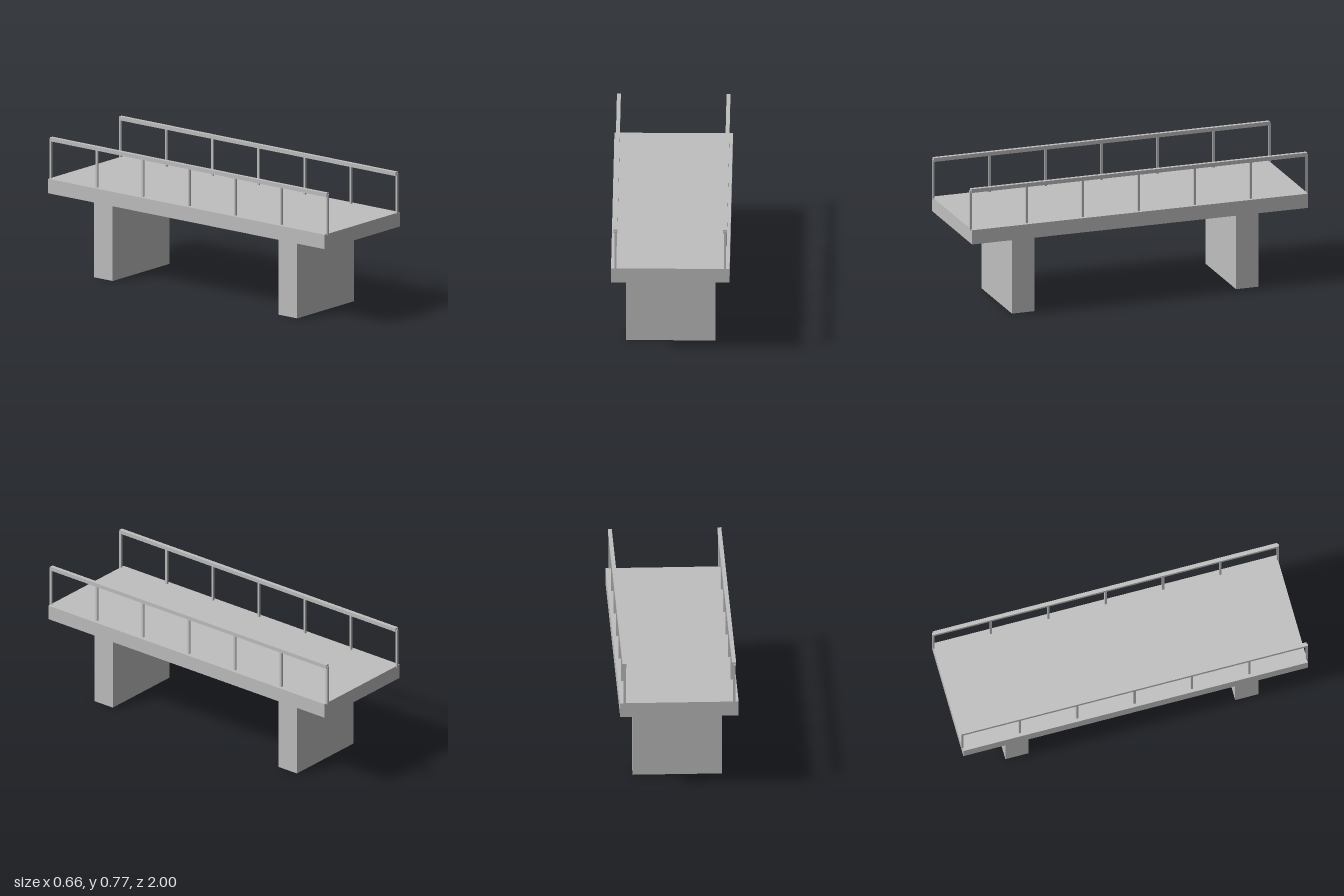
import * as THREE from 'three';

export function createModel() {
  const bridge = new THREE.Group();
  bridge.name = 'footbridge';
  const concrete = new THREE.MeshStandardMaterial({ color: 0xbfbfbf });
  concrete.name = 'plain grey';

  const halfLength = 0.994;

  // Box placed by its base height
  function addBox(parent, name, [w, h, d], x, bottom, z) {
    const mesh = new THREE.Mesh(new THREE.BoxGeometry(w, h, d), concrete);
    mesh.name = name;
    mesh.position.set(x, bottom + h / 2, z);
    parent.add(mesh);
  }

  // Deck slab
  addBox(bridge, 'deck', [0.66, 0.083, halfLength * 2], 0, 0.456, 0);

  // Supporting piers
  for (const end of [1, -1]) {
    addBox(bridge, end > 0 ? 'frontPier' : 'backPier', [0.498, 0.456, 0.133], 0, 0, end * 0.663);
  }

  // Railings: seven posts under one handrail on each side
  for (const side of [1, -1]) {
    const railing = new THREE.Group();
    railing.name = side > 0 ? 'leftRailing' : 'rightRailing';
    const x = side * 0.305;
    for (let i = 0; i < 7; i++) {
      addBox(railing, `post${i + 1}`, [0.012, 0.232, 0.012], x, 0.532, halfLength * (1 - i / 3));
    }
    addBox(railing, 'handrail', [0.022, 0.022, halfLength * 2], x, 0.752, 0);
    bridge.add(railing);
  }
  return bridge;
}
